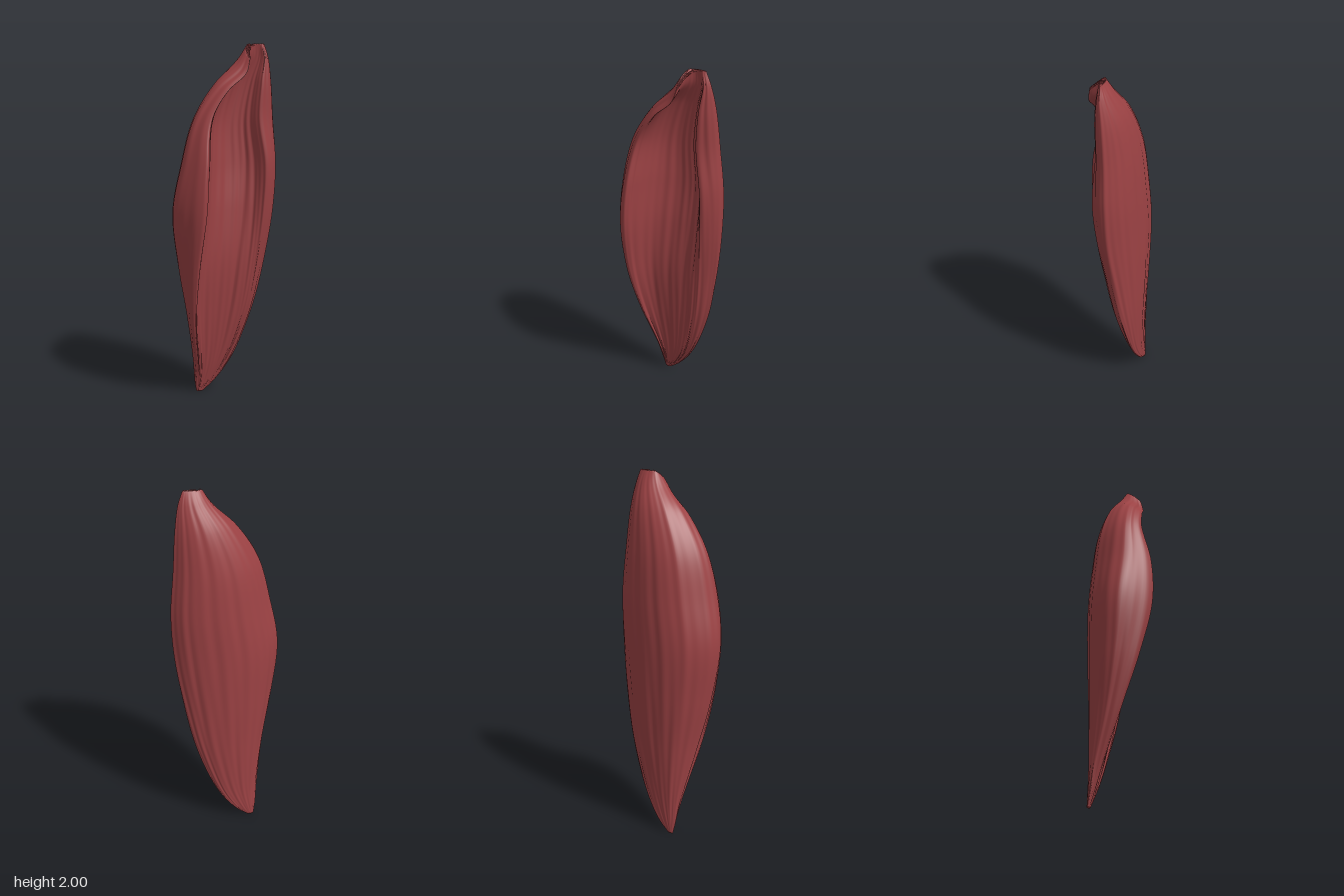
import * as THREE from 'three';

// Section levels: y, left edge x z, right edge x z, back z, tall lip x z, short lip x z, hollow z
const LEVELS = [
  [0.00, -0.14, -0.16, -0.10, -0.16, -0.168, -0.13, -0.153, -0.11, -0.153, -0.152],
  [0.06, -0.15, -0.15, -0.03, -0.16, -0.170, -0.13, -0.135, -0.05, -0.15, -0.14],
  [0.20, -0.165, -0.125, 0.07, -0.15, -0.172, -0.145, -0.09, 0.04, -0.13, -0.11],
  [0.50, -0.215, -0.06, 0.185, -0.13, -0.185, -0.185, 0.02, 0.14, -0.07, -0.06],
  [0.80, -0.272, -0.01, 0.25, -0.10, -0.195, -0.19, 0.12, 0.19, -0.03, -0.03],
  [1.10, -0.303, 0.02, 0.293, -0.07, -0.197, -0.165, 0.185, 0.22, 0.01, -0.04],
  [1.35, -0.26, 0.04, 0.303, -0.06, -0.188, -0.145, 0.178, 0.225, 0.028, -0.06],
  [1.60, -0.19, 0.04, 0.28, -0.05, -0.165, -0.11, 0.12, 0.19, 0.02, -0.06],
  [1.80, -0.07, 0.04, 0.262, -0.035, -0.12, -0.02, 0.108, 0.20, 0.02, -0.045],
  [1.93, 0.05, 0.05, 0.24, -0.02, -0.06, 0.085, 0.098, 0.215, 0.005, -0.02],
  [2.00, 0.10, 0.04, 0.215, -0.015, -0.02, 0.11, 0.08, 0.20, -0.005, -0.008],
];
const RINGS = 120, SIDES = 160;
const mix = THREE.MathUtils.lerp;

// Ten control points round one crescent section, open towards the front
function section([y, xl, zl, xr, zr, zb, xa, za, xb, zs, zi]) {
  const w = xr - xl, gap = xb - xa;
  const tilt = 0.95 * THREE.MathUtils.smoothstep(y, 1.6, 2);
  return [
    [xl, zl], [xl + 0.17 * w, mix(zl, zb, 0.74)], [xl + 0.5 * w, zb],
    [xr - 0.15 * w, mix(zr, zb, 0.68)], [xr, zr],
    [xb, zs], [xb - 0.16 * gap, mix(zs, zi, 0.75)], [xa + 0.5 * gap, zi],
    [xa + 0.15 * gap, mix(za, zi, 0.68)], [xa, za],
  ].map(([x, z]) => new THREE.Vector3(x, y - tilt * Math.max(0, z), z));
}

// Fine lengthwise fibres, a little slanted, with a few deeper creases
function fibre(u, t) {
  const a = u * Math.PI * 2;
  let d = 0.0022 * Math.sin(17 * a + 5 * t + 1.5 * Math.sin(4 * t))
        + 0.0016 * Math.sin(31 * a - 7 * t + Math.sin(9 * t))
        + 0.0012 * Math.sin(6 * a + 14 * t);
  for (const [at, slant, depth] of [[0.86, 0.03, 0.012], [0.64, -0.04, 0.010], [0.45, 0.05, 0.007], [0.97, -0.03, 0.006]]) {
    const s = (u - at - slant * (t - 0.5)) / 0.009;
    d -= depth * Math.exp(-s * s);
  }
  return d * Math.sin(Math.PI * t);
}

function buildSheet() {
  // Lengthwise tracks through matching control points
  const sections = LEVELS.map(section);
  const tracks = sections[0].map((_, k) => new THREE.CatmullRomCurve3(sections.map(s => s[k])));
  const pos = [], index = [];
  for (let i = 0; i <= RINGS; i++) {
    const loop = new THREE.CatmullRomCurve3(tracks.map(c => c.getPoint(i / RINGS)), true);
    for (let j = 0; j < SIDES; j++) pos.push(...loop.getPoint(j / SIDES).toArray());
  }
  for (let i = 0; i < RINGS; i++) {
    for (let j = 0; j < SIDES; j++) {
      const k = (j + 1) % SIDES;
      const a = i * SIDES + j, b = i * SIDES + k, c = a + SIDES, d = b + SIDES;
      index.push(a, c, b, b, c, d);
    }
  }
  // Close both ends by joining the outer run to the inner run
  const top = RINGS * SIDES;
  for (let j = 0; j < SIDES / 2 - 1; j++) {
    const p = j, q = j + 1, r = SIDES - 1 - j, s = SIDES - 2 - j;
    index.push(p, q, r, q, s, r);
    index.push(top + p, top + r, top + q, top + q, top + r, top + s);
  }
  const geo = new THREE.BufferGeometry();
  geo.setAttribute('position', new THREE.Float32BufferAttribute(pos, 3));
  geo.setIndex(index);
  geo.computeVertexNormals();

  // Push the surface in and out along its normals to carve the fibres
  const P = geo.attributes.position, N = geo.attributes.normal;
  for (let v = 0; v < P.count; v++) {
    const d = fibre((v % SIDES) / SIDES, Math.floor(v / SIDES) / RINGS);
    P.setXYZ(v, P.getX(v) + d * N.getX(v), Math.max(0, P.getY(v) + d * N.getY(v)), P.getZ(v) + d * N.getZ(v));
  }
  // Ragged upper rim
  for (let j = 0; j < SIDES; j++) {
    const v = top + j;
    P.setY(v, P.getY(v) - 0.006 * (1 + Math.sin(j * 1.9)) * (P.getX(v) < 0.15 ? 1 : 0.2));
  }
  geo.computeVertexNormals();
  return geo;
}

export function createModel() {
  const group = new THREE.Group();
  group.name = 'muscle';
  const belly = new THREE.Mesh(buildSheet(), new THREE.MeshStandardMaterial({ color: 0x9c4244, side: THREE.DoubleSide }));
  belly.name = 'muscleBelly';
  group.add(belly);
  return group;
}
